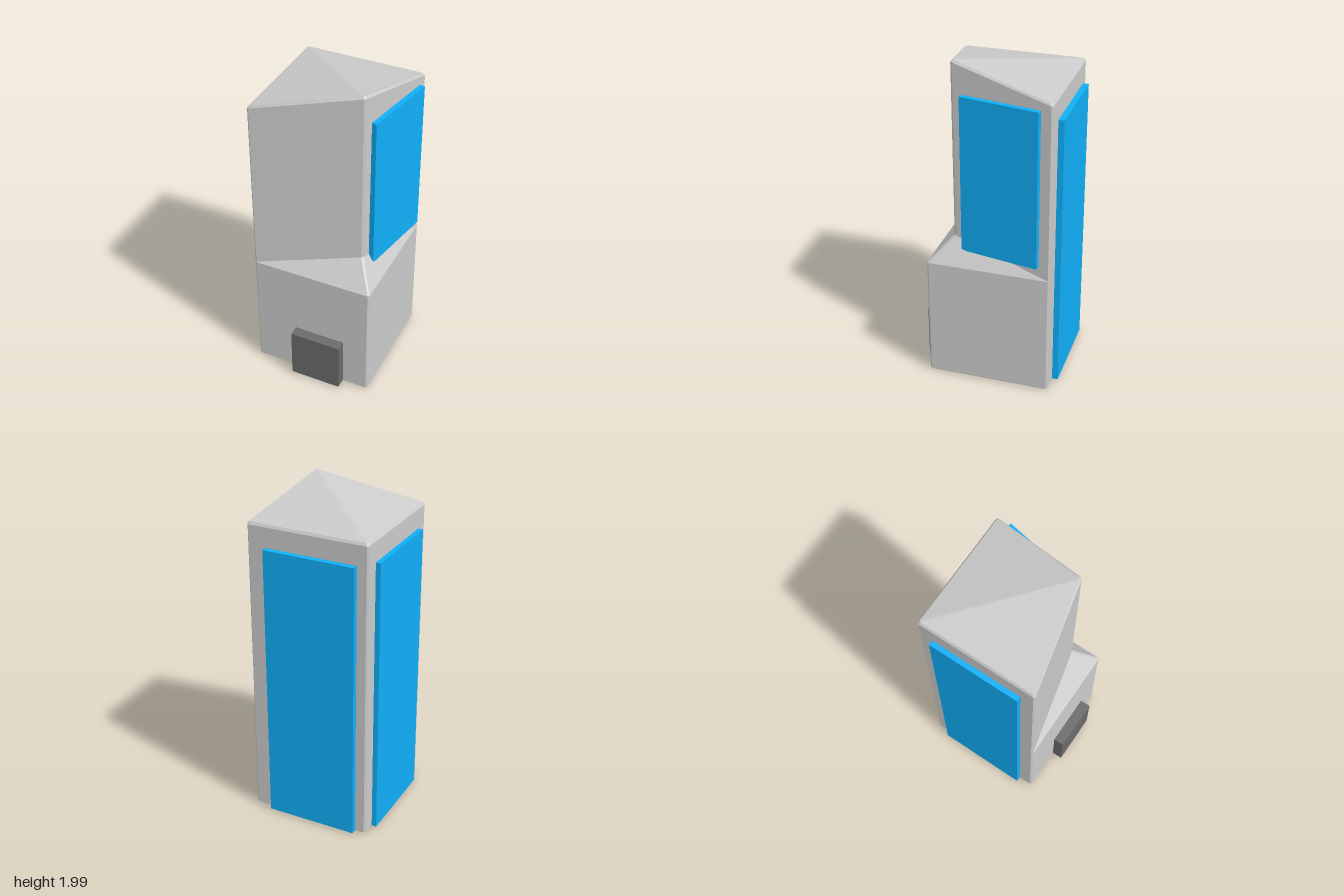
import * as THREE from 'three';

const grey = new THREE.MeshStandardMaterial({ color: 0xcccccc, flatShading: true });
const blue = new THREE.MeshStandardMaterial({ color: 0x10aff8 });
const dark = new THREE.MeshStandardMaterial({ color: 0x6b6b6b });

const B = 0.01; // bevel width

// Ring of four chamfered corners [x, y, z], ordered anticlockwise from above.
function ring(corners, inset = 0) {
  const centre = new THREE.Vector3(0, 0, 0);
  const pts = corners.map(([x, y, z]) => {
    const p = new THREE.Vector3(x, y, z);
    p.x -= Math.sign(x - centre.x) * inset;
    p.z -= Math.sign(z - centre.z) * inset;
    return p;
  });
  return pts.flatMap((p, i) => [pts[(i + 3) % 4], pts[(i + 1) % 4]].map((q) => {
    const d = q.clone().sub(p).setLength(B);
    return p.clone().add(d);
  }));
}

// Closed solid from stacked rings; the caps fan out from the front right corner.
function loft(rings) {
  const pos = [];
  const tri = (a, b, c) => {
    const area = b.clone().sub(a).cross(c.clone().sub(a)).length();
    if (area > 1e-8) pos.push(...a.toArray(), ...b.toArray(), ...c.toArray());
  };
  for (let r = 0; r < rings.length - 1; r++) {
    const lo = rings[r], hi = rings[r + 1], n = lo.length;
    for (let i = 0; i < n; i++) {
      const j = (i + 1) % n;
      tri(lo[i], lo[j], hi[j]);
      tri(lo[i], hi[j], hi[i]);
    }
  }
  const bottom = rings[0], top = rings[rings.length - 1];
  for (let i = 1; i < top.length - 1; i++) {
    tri(top[0], top[i], top[i + 1]);
    tri(bottom[0], bottom[i + 1], bottom[i]);
  }
  const geo = new THREE.BufferGeometry();
  geo.setAttribute('position', new THREE.Float32BufferAttribute(pos, 3));
  geo.computeVertexNormals();
  return geo;
}

// Square plan, with the front right corner (first) free to move.
function plan(y, cut = [0.375, y, 0.355]) {
  return [cut, [0.375, y, -0.39], [-0.37, y, -0.39], [-0.37, y, 0.355]];
}

function box(name, material, size, position, turn = 0) {
  const mesh = new THREE.Mesh(new THREE.BoxGeometry(...size), material);
  mesh.name = name;
  mesh.position.set(...position);
  mesh.rotation.y = turn;
  return mesh;
}

export function createModel() {
  const group = new THREE.Group();
  group.name = 'tower';

  // Tower body: square base, sloped shoulder, cut-back upper corner rising to a peak
  const body = new THREE.Mesh(loft([
    ring(plan(0.005), B),
    ring(plan(0.005 + B)),
    ring(plan(0.765)),
    ring(plan(0.765, [0.27, 0.92, 0.215])),
    ring(plan(1.85 - B, [0.272, 1.99, 0.217])),
    ring(plan(1.855, [0.272, 2.002, 0.217]), B),
  ]), grey);
  body.name = 'towerBody';
  group.add(body);

  // Glass panels
  group.add(
    box('sideGlass', blue, [0.04, 1.71, 0.565], [-0.38, 0.865, -0.0175]),
    box('backGlass', blue, [0.56, 1.71, 0.045], [-0.0225, 0.865, -0.4025]),
    box('upperGlass', blue, [0.032, 0.96, 0.483], [0.34, 1.33, -0.082], -0.183),
  );

  // Entrance block
  group.add(box('entrance', dark, [0.317, 0.32, 0.09], [0.0525, 0.175, 0.375]));
  return group;
}
